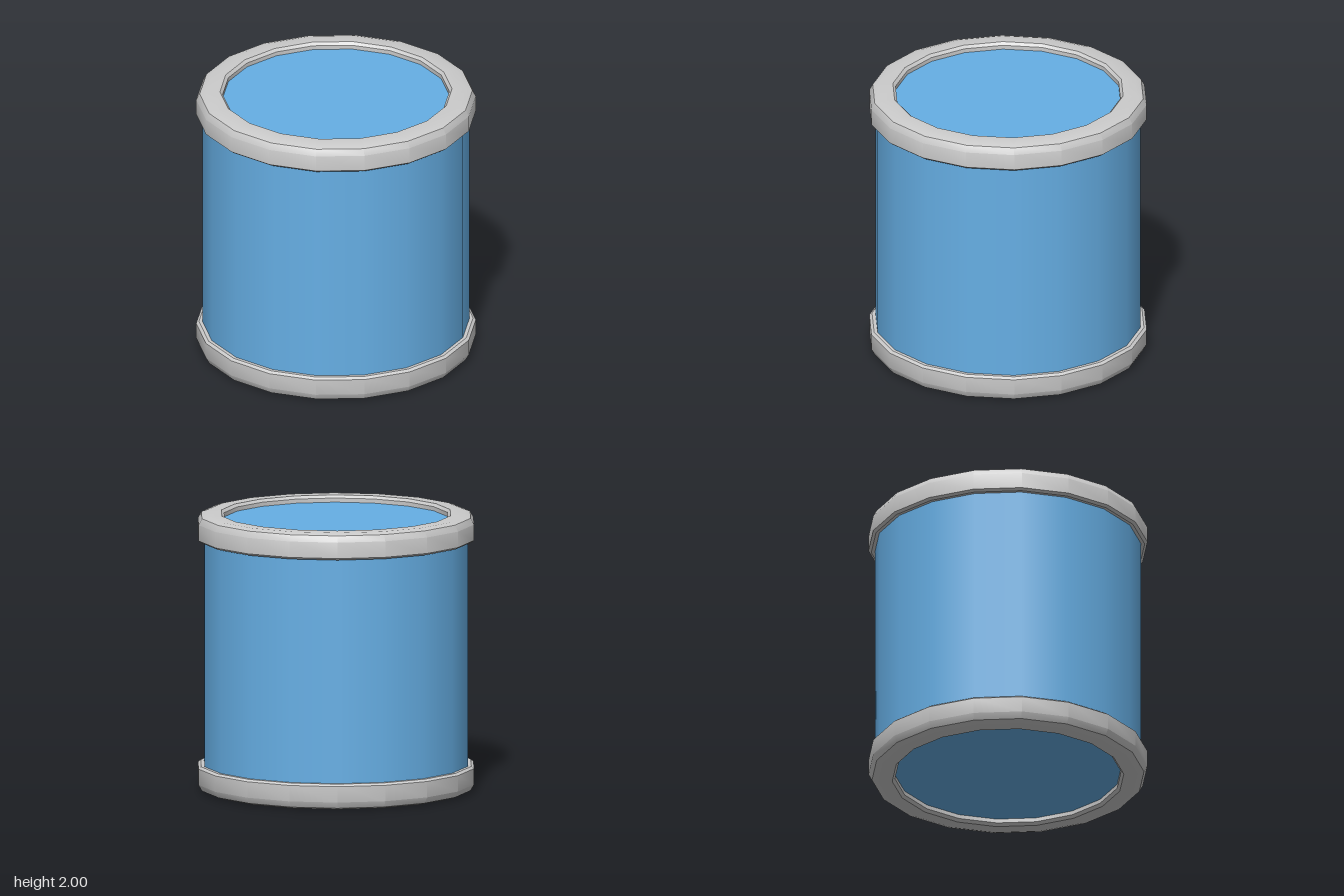
import * as THREE from 'three';
import { toCreasedNormals } from 'three/addons/utils/BufferGeometryUtils.js';

const SIDES = 18;

// Rim cross-section as [radius, height], running up the outside and down the inside
const RIM_PROFILE = [
  [0.94, 1.81], [0.98, 1.81], [1.0, 1.825], [1.0, 1.94], [0.975, 1.985],
  [0.93, 2.0], [0.83, 2.0], [0.81, 1.98], [0.81, 1.93],
];

function createRim(name) {
  const points = RIM_PROFILE.map(([r, y]) => new THREE.Vector2(r, y - 1));
  const geometry = toCreasedNormals(new THREE.LatheGeometry(points, SIDES), 0.6);
  const rim = new THREE.Mesh(geometry, new THREE.MeshStandardMaterial({ color: 0xcccccc }));
  rim.name = name;
  rim.position.y = 1;
  return rim;
}

export function createModel() {
  const model = new THREE.Group();
  model.name = 'drum';

  // Blue barrel, its ends recessed inside the rims
  const body = new THREE.Mesh(
    new THREE.CylinderGeometry(0.955, 0.955, 1.9, SIDES),
    new THREE.MeshStandardMaterial({ color: 0x66afe5 })
  );
  body.name = 'body';
  body.position.y = 1;
  model.add(body);

  // Matching rims, the lower one turned over
  const topRim = createRim('topRim');
  const bottomRim = createRim('bottomRim');
  bottomRim.rotation.x = Math.PI;
  model.add(topRim, bottomRim);

  return model;
}
